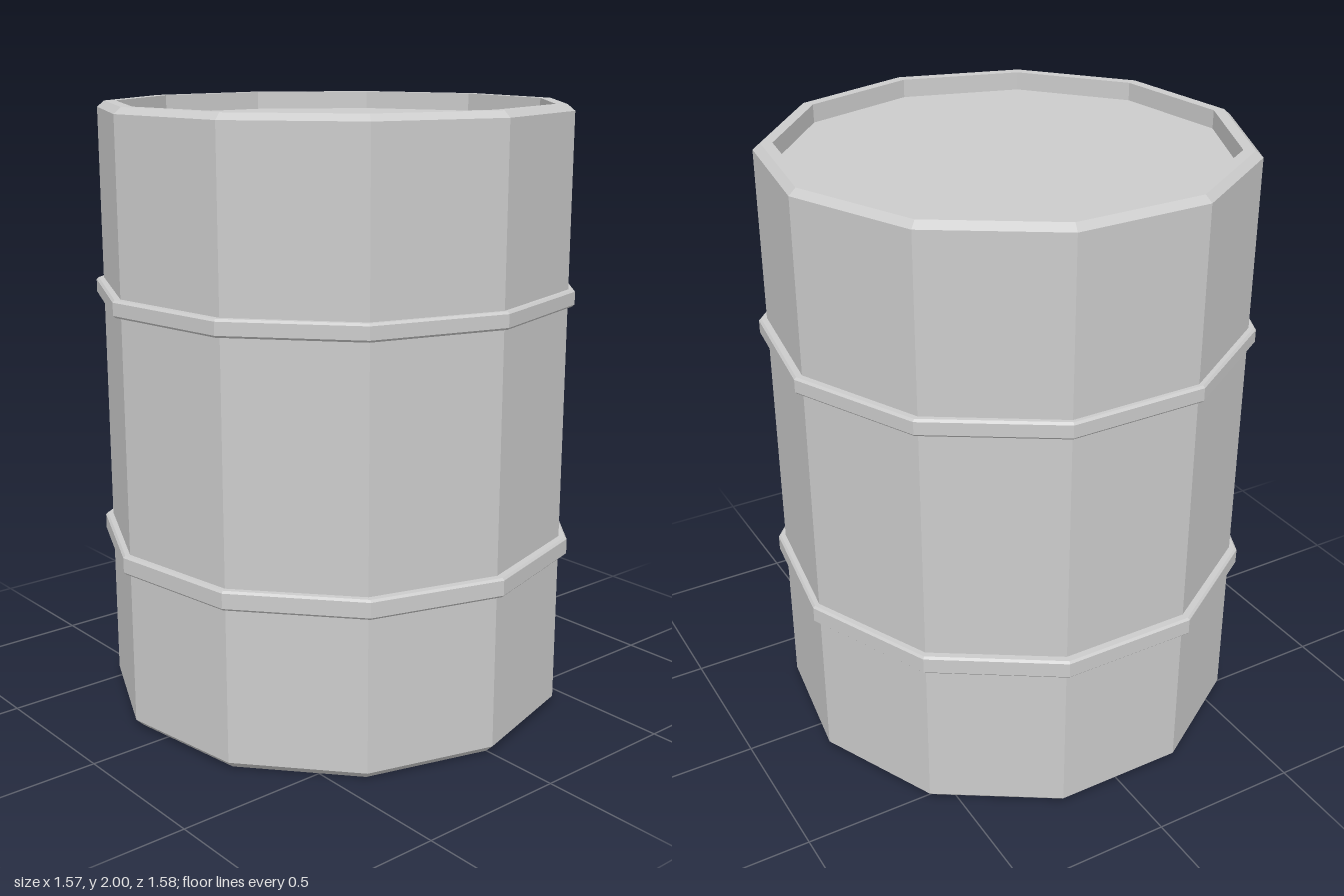
import * as THREE from 'three';

const SIDES = 11;
const material = new THREE.MeshStandardMaterial({ color: 0xcccccc, flatShading: true });

// Faceted solid of revolution with one corner pointing to +x; profile runs [radius, y] upwards
function turned(name, profile) {
  const points = profile.map(([r, y]) => new THREE.Vector2(r, y));
  const geometry = new THREE.LatheGeometry(points, SIDES, Math.PI / 2).toNonIndexed();
  geometry.computeVertexNormals();
  const mesh = new THREE.Mesh(geometry, material);
  mesh.name = name;
  return mesh;
}

// Raised band around the drum with slightly chamfered edges
function hoop(name, y0, y1, radiusX, radiusZ) {
  const c = 0.007;
  const mesh = turned(name, [
    [0.75, y0], [radiusX - c, y0], [radiusX, y0 + c],
    [radiusX, y1 - c], [radiusX - c, y1], [0.75, y1],
  ]);
  mesh.scale.z = radiusZ / radiusX;
  return mesh;
}

export function createModel() {
  const barrel = new THREE.Group();
  barrel.name = 'barrel';

  // Drum wall with chamfered rims and recessed bottom and lid
  barrel.add(turned('drum', [
    [0, 0.04], [0.71, 0.04], [0.71, 0], [0.745, 0], [0.771, 0.025],
    [0.771, 1.98], [0.747, 2], [0.71, 2], [0.71, 1.94], [0, 1.94],
  ]));

  barrel.add(hoop('lowerHoop', 0.537, 0.6, 0.801, 0.794));
  barrel.add(hoop('upperHoop', 1.37, 1.425, 0.79, 0.798));

  // An odd number of sides is lopsided in x, so shift to centre it
  barrel.position.x = -0.017;

  const model = new THREE.Group();
  model.add(barrel);
  return model;
}
